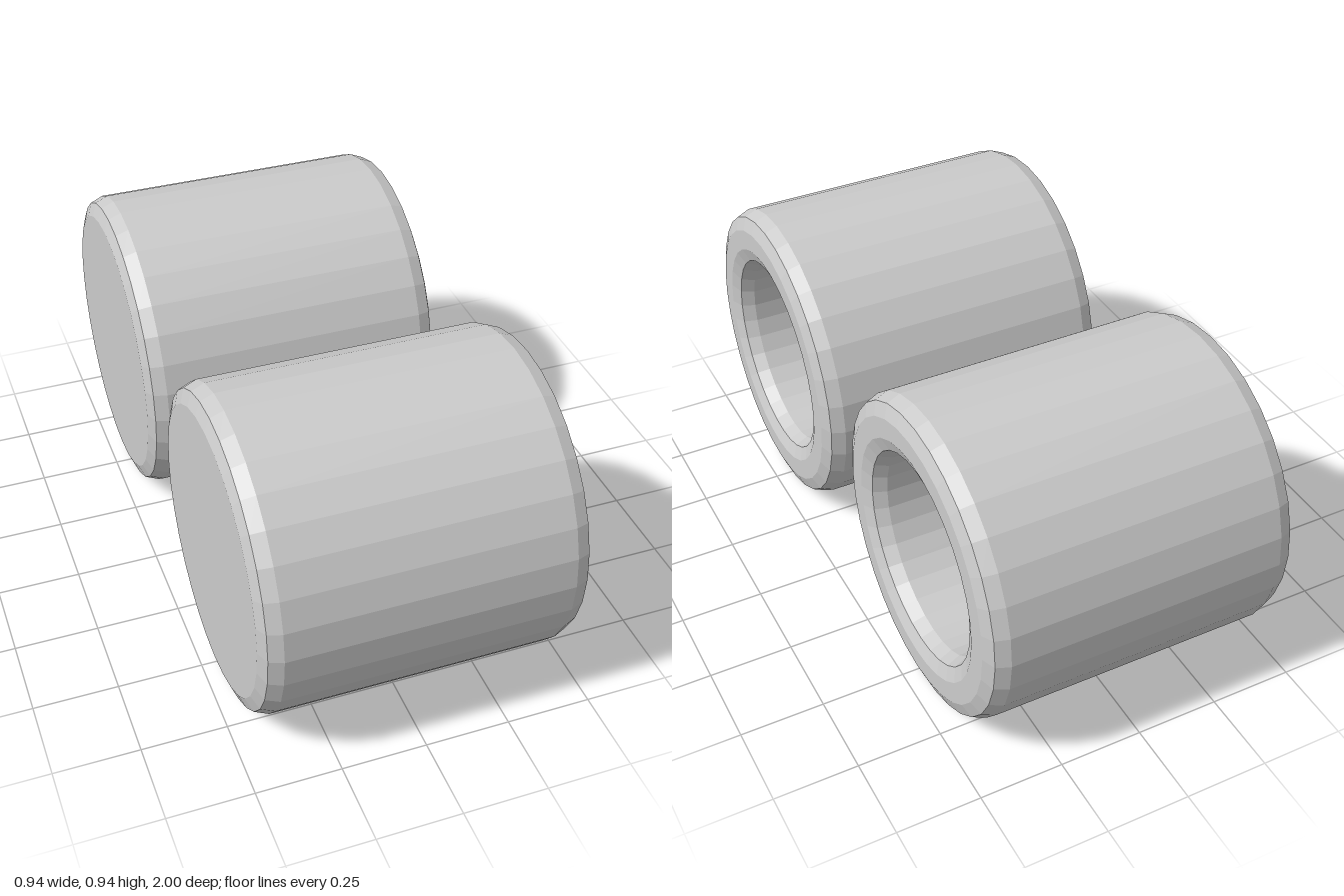
import * as THREE from 'three';

const RADIUS = 0.468; // outer radius of a cup
const HALF = 0.468;   // half its length
const BORE = 0.294;   // radius of the hollow
const FLOOR = -0.294; // where the hollow ends

export function createModel() {
  const model = new THREE.Group();
  const material = new THREE.MeshStandardMaterial({ color: 0xcccccc, flatShading: true });

  // Profile (radius, position along the axis): closed end, wall, rim, hollow
  const profile = [
    [0, -HALF],
    [RADIUS - 0.056, -HALF], [RADIUS - 0.016, -HALF + 0.016], [RADIUS, -HALF + 0.056],
    [RADIUS, HALF - 0.056], [RADIUS - 0.016, HALF - 0.016], [RADIUS - 0.056, HALF],
    [BORE + 0.056, HALF], [BORE + 0.016, HALF - 0.016], [BORE, HALF - 0.056],
    [BORE, FLOOR + 0.05], [BORE - 0.012, FLOOR + 0.014], [BORE - 0.05, FLOOR],
    [0, FLOOR],
  ].map(([r, t]) => new THREE.Vector2(r, t));

  // Lay the axis along x with the open end towards +x
  const geometry = new THREE.LatheGeometry(profile, 32).rotateZ(-Math.PI / 2);

  // Two equal cups side by side
  for (const [name, side] of [['frontCup', 1], ['backCup', -1]]) {
    const cup = new THREE.Mesh(geometry, material);
    cup.name = name;
    cup.position.set(0, RADIUS, side * (1 - RADIUS));
    model.add(cup);
  }
  return model;
}
